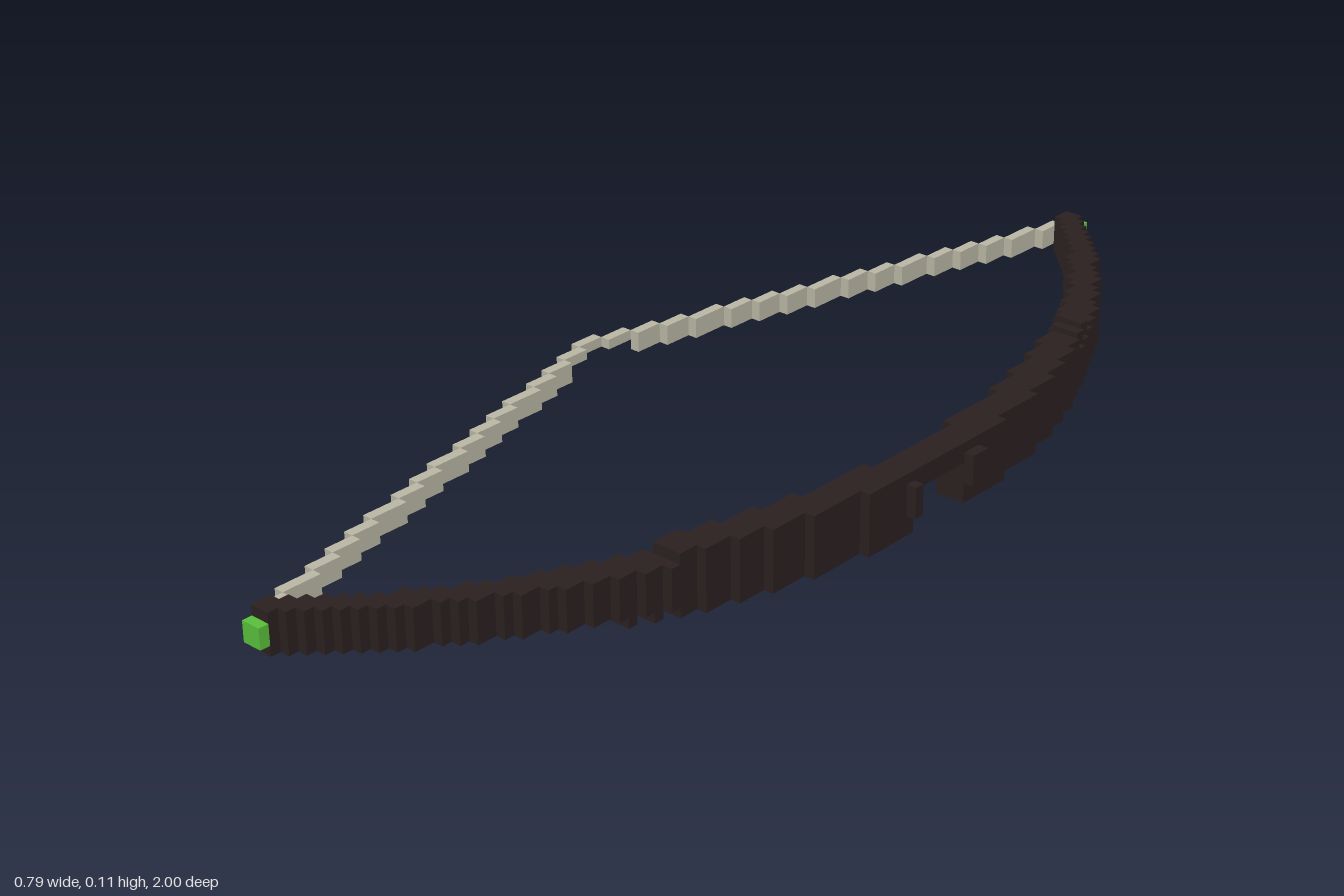
import * as THREE from 'three';
import { mergeGeometries } from 'three/addons/utils/BufferGeometryUtils.js';

const V = 0.018;      // voxel size
const X0 = -22 * V;   // left edge of the voxel grid

const wood = new THREE.MeshStandardMaterial({ name: 'dark wood', color: 0x2b2020 });
const cord = new THREE.MeshStandardMaterial({ name: 'pale cord', color: 0xbab7a5 });
const green = new THREE.MeshStandardMaterial({ name: 'green tip', color: 0x5abf3c });

// Box from grid limits: columns x0..x1, rows y0..y1, slices z0..z1 (z in voxels from the centre)
function block(x0, x1, y0, y1, z0, z1) {
  const g = new THREE.BoxGeometry((x1 - x0) * V, (y1 - y0) * V, (z1 - z0) * V);
  return g.translate(X0 + (x0 + x1) / 2 * V, (y0 + y1) / 2 * V, (z0 + z1) / 2 * V);
}

// Columns covered by the bow's circular arc at slice k
function span(k) {
  const z = k * V, R = 1.309;
  const c = 0.35 - (R - Math.sqrt(R * R - z * z));
  const half = 0.022 - 0.009 * Math.pow(Math.abs(k) / 54, 4);
  const a = Math.max(17, Math.floor((c - half - X0) / V));
  return [a, Math.max(a + 2, Math.min(43, Math.ceil((c + half - X0) / V)))];
}

export function createModel() {
  const model = new THREE.Group();
  model.name = 'bow';
  const add = (name, parts, material) => {
    const mesh = new THREE.Mesh(mergeGeometries(parts), material);
    mesh.name = name;
    model.add(mesh);
  };

  // Stave: thin limbs, thicker middle, cut away below the grip
  const limbs = [], middle = [], grip = [];
  for (let k = -54; k <= 54; k++) {
    const [a, b] = span(k), n = Math.abs(k);
    if (n <= 3) grip.push(block(a, b, 4, 6, k - 0.5, k + 0.5));
    else if (n <= 27) middle.push(block(a, b, 0, 6, k - 0.5, k + 0.5));
    else limbs.push(block(a, b, 1, 5, k - 0.5, k + 0.5));
    // Single ridges where the thick middle fades into the limbs
    if (n === 29 || n === 31) {
      limbs.push(block(a, b, 0, 1, k - 0.5, k + 0.5));
      if (k < 0) limbs.push(block(a, b, 5, 6, k - 0.5, k + 0.5));
    }
  }
  add('limbs', limbs, wood);
  add('thickMiddle', middle, wood);
  add('grip', grip, wood);

  // Small studs on the outer face beside the grip
  add('studs', [block(43, 44, 2, 5, -5.5, -3.5), block(43, 44, 2, 5, 3.5, 4.5)], wood);

  // Drawn string: stepped runs from the nock point to both tips
  const string = [block(0, 1, 3, 4, -1.5, 1.5)];
  for (const s of [-1, 1]) {
    for (let i = 1; i <= 16; i++) {
      const near = Math.round(1.5 + 3.28 * (i - 1)) - 0.5;
      const far = Math.round(1.5 + 3.28 * i) - 0.5;
      const z0 = Math.min(s * near, s * far), z1 = Math.max(s * near, s * far);
      string.push(block(i, i + 1, i < 2 ? 3 : 2, 4, z0, z1));
    }
  }
  add('string', string, cord);

  // Coloured limb tips
  add('tips', [block(17, 19, 2, 4, -55.5, -54.5), block(17, 19, 2, 4, 54.5, 55.5)], green);
  return model;
}
